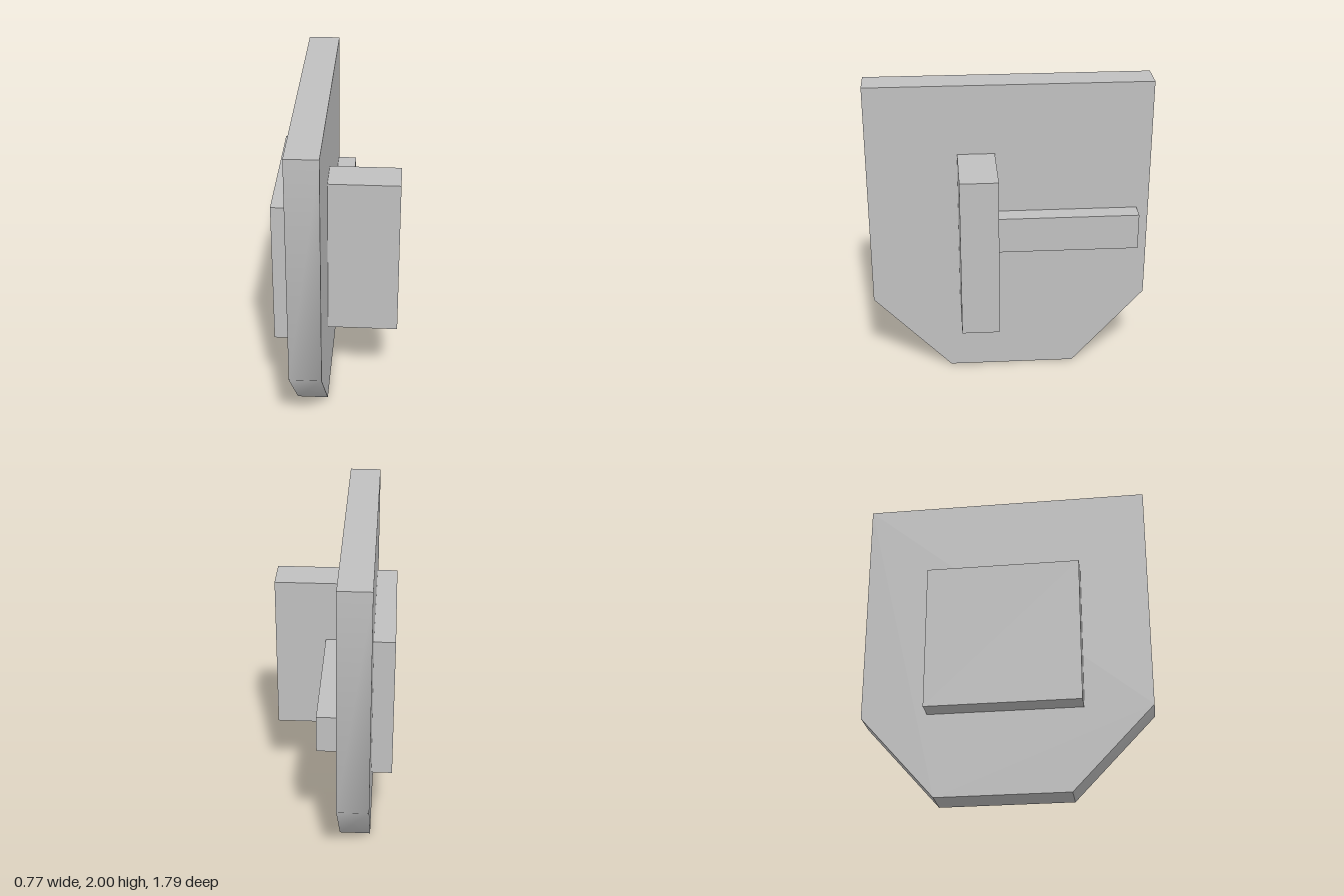
import * as THREE from 'three';
import { toCreasedNormals } from 'three/addons/utils/BufferGeometryUtils.js';

export function createModel() {
  const group = new THREE.Group();
  const grey = new THREE.MeshStandardMaterial({ color: 0xc0c0c0 });
  grey.name = 'light grey';

  const add = (name, geometry) => {
    const mesh = new THREE.Mesh(geometry, grey);
    mesh.name = name;
    group.add(mesh);
  };

  // Box given by its lowest and highest corner
  const block = (name, [x0, y0, z0], [x1, y1, z1]) => {
    const geometry = new THREE.BoxGeometry(x1 - x0, y1 - y0, z1 - z0);
    geometry.translate((x0 + x1) / 2, (y0 + y1) / 2, (z0 + z1) / 2);
    add(name, geometry);
  };

  // Upright panel with tapered bottom: outline in (z, y), thickness along x
  const outline = new THREE.Shape([
    [-0.43, 0], [0.395, 0], [0.895, 0.525], [0.895, 2], [-0.895, 2], [-0.895, 0.525],
  ].map(([z, y]) => new THREE.Vector2(z, y)));
  const panel = new THREE.ExtrudeGeometry(outline, { depth: 0.197, bevelEnabled: false });
  panel.rotateY(-Math.PI / 2);
  panel.translate(-0.058, 0, 0);
  // Side edges blend softly into the taper, all other edges stay sharp
  add('panel', toCreasedNormals(panel, Math.PI / 4));

  // Square pad on one face, upright block and level bar on the other
  block('squarePad', [-0.385, 0.53, -0.483], [-0.255, 1.465, 0.476]);
  block('uprightBlock', [-0.058, 0.517, 0.09], [0.382, 1.55, 0.325]);
  block('levelBar', [-0.058, 0.915, -0.82], [0.062, 1.15, 0.09]);

  return group;
}
